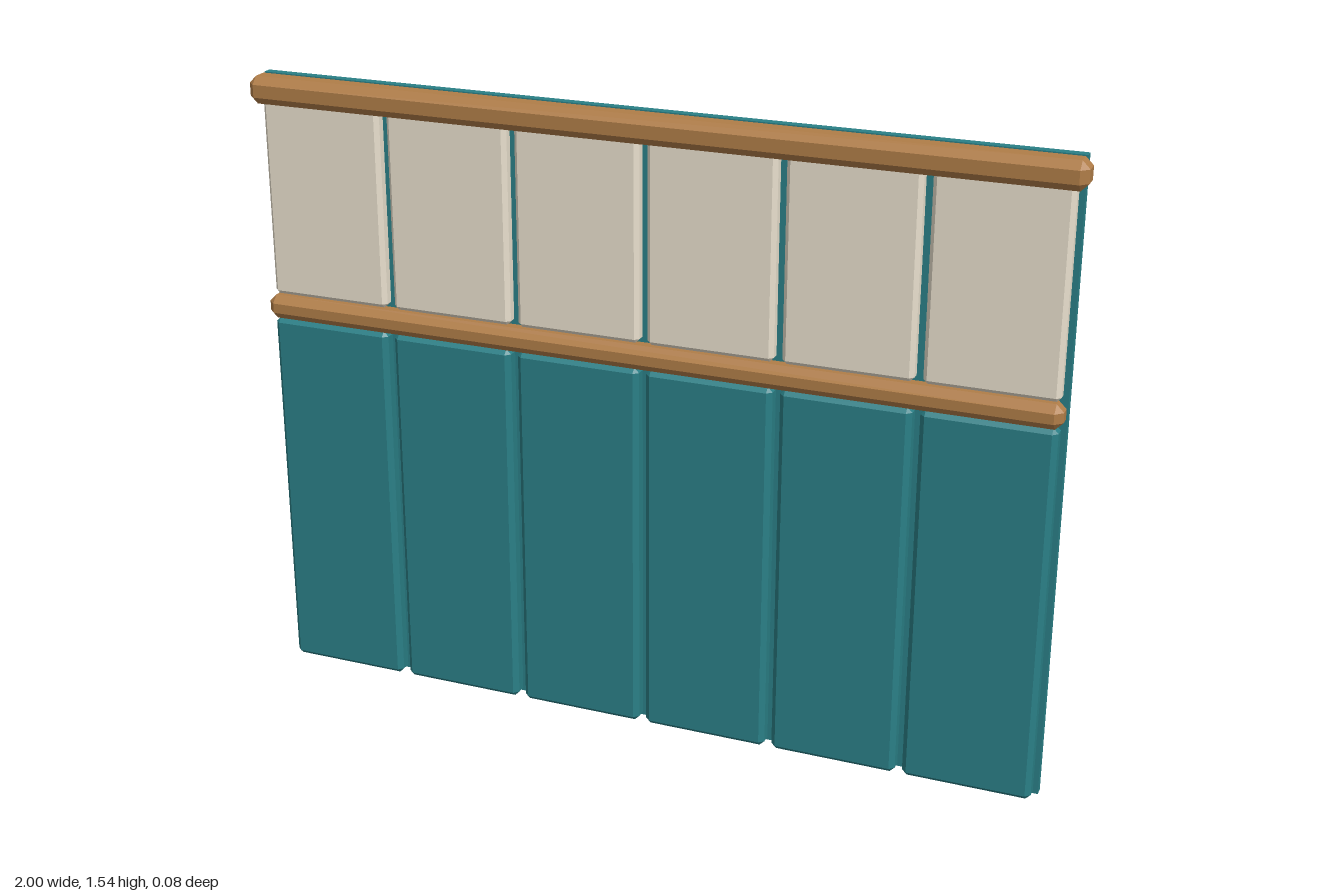
import * as THREE from 'three';
import { ConvexGeometry } from 'three/addons/geometries/ConvexGeometry.js';

const material = (color) => new THREE.MeshStandardMaterial({ color, flatShading: true });

// Box between two corners with every edge cut by a flat chamfer c
function chamferBox(name, [x0, y0, z0], [x1, y1, z1], c, mat) {
  const half = [(x1 - x0) / 2, (y1 - y0) / 2, (z1 - z0) / 2];
  const points = [];
  for (let face = 0; face < 3; face++) {
    for (const sx of [-1, 1]) for (const sy of [-1, 1]) for (const sz of [-1, 1]) {
      const p = [sx, sy, sz].map((s, axis) => s * (half[axis] - (axis === face ? 0 : c)));
      points.push(new THREE.Vector3(...p));
    }
  }
  const mesh = new THREE.Mesh(new ConvexGeometry(points), mat);
  mesh.position.set((x0 + x1) / 2, (y0 + y1) / 2, (z0 + z1) / 2);
  mesh.name = name;
  return mesh;
}

export function createModel() {
  const group = new THREE.Group();
  group.name = 'wallPanelling';
  const teal = material(0x2a7f86);
  const cream = material(0xe8dfcd);
  const wood = material(0xb07d48);

  // Flat backing board
  const back = new THREE.Mesh(new THREE.BoxGeometry(1.97, 1.545, 0.022), teal);
  back.position.set(0, 0.7725, -0.031);
  back.name = 'backBoard';
  group.add(back);

  // Six columns, each a tall lower panel and a short upper panel
  const count = 6, pitch = 0.328;
  for (let i = 0; i < count; i++) {
    const x = (i - (count - 1) / 2) * pitch;
    group.add(chamferBox('lowerPanel' + (i + 1),
      [x - 0.155, 0.003, -0.02], [x + 0.155, 0.94, 0.027], 0.012, teal));
    group.add(chamferBox('upperPanel' + (i + 1),
      [x - 0.154, 1.0, -0.019], [x + 0.154, 1.5, 0.019], 0.01, cream));
  }

  // Chamfered wooden rails
  group.add(chamferBox('middleRail', [-0.985, 0.94, -0.019], [0.985, 1.0, 0.041], 0.018, wood));
  group.add(chamferBox('topRail', [-1, 1.478, -0.028], [1, 1.545, 0.042], 0.018, wood));

  return group;
}
